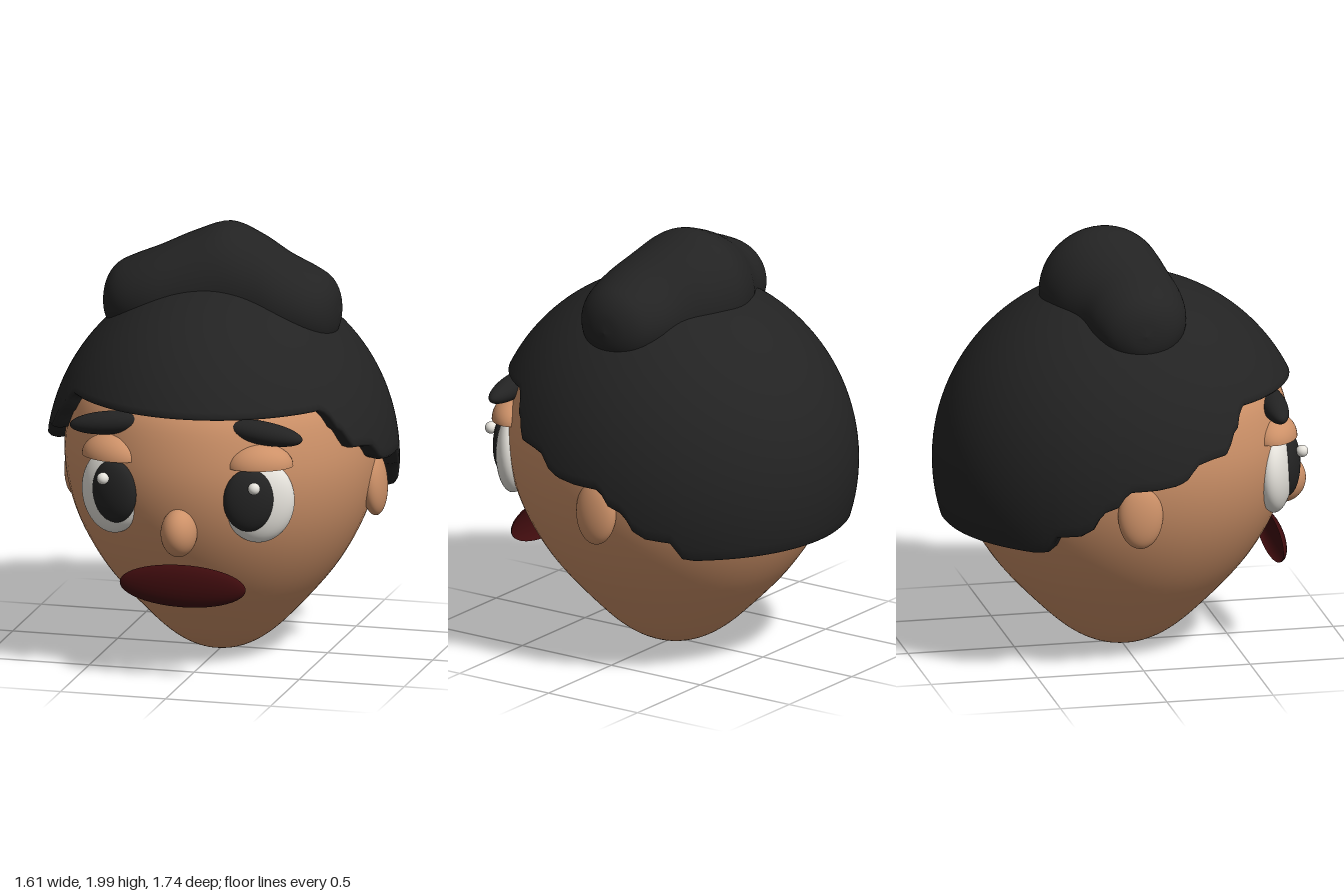
import * as THREE from 'three';
import { mergeGeometries } from 'three/addons/utils/BufferGeometryUtils.js';

function material(name, color, side = THREE.FrontSide) {
  const m = new THREE.MeshStandardMaterial({ color, side });
  m.name = name;
  return m;
}

// Smooth grid surface closed around u; fn(u, v) returns [x, y, z]
function loopSurface(fn, nu, nv) {
  const pos = [], index = [];
  for (let j = 0; j <= nv; j++)
    for (let i = 0; i < nu; i++) pos.push(...fn(i / nu, j / nv));
  for (let j = 0; j < nv; j++)
    for (let i = 0; i < nu; i++) {
      const k = (i + 1) % nu;
      const a = j * nu + i, b = j * nu + k, c = a + nu, d = b + nu;
      index.push(a, c, b, c, d, b);
    }
  const g = new THREE.BufferGeometry();
  g.setAttribute('position', new THREE.Float32BufferAttribute(pos, 3));
  g.setIndex(index);
  g.computeVertexNormals();
  return g;
}

export function createModel() {
  const model = new THREE.Group();
  model.name = 'characterHead';
  const skin = material('skin', 0xcd9168);
  const black = material('hairBlack', 0x232323, THREE.DoubleSide);
  const white = material('eyeWhite', 0xe6e3dc);
  const red = material('darkRed', 0x3d0b0d, THREE.DoubleSide);

  const ball = new THREE.SphereGeometry(1, 40, 28);
  function add(name, geometry, mat, pos = [0, 0, 0], scale = [1, 1, 1], rot = [0, 0, 0]) {
    const mesh = new THREE.Mesh(geometry, mat);
    mesh.name = name;
    mesh.position.set(...pos);
    mesh.scale.set(...scale);
    mesh.rotation.set(...rot);
    model.add(mesh);
    return mesh;
  }

  // Egg-shaped head with a narrow chin
  const profile = [[0, 0.01], [0.12, 0.03], [0.24, 0.09], [0.37, 0.2], [0.56, 0.4], [0.69, 0.6], [0.765, 0.8],
    [0.785, 1], [0.745, 1.2], [0.67, 1.32], [0.55, 1.45], [0.35, 1.57], [0, 1.63]];
  const curve = new THREE.SplineCurve(profile.map(p => new THREE.Vector2(...p)));
  const points = curve.getPoints(60);
  points.forEach(p => { p.x = Math.max(p.x, 0); });
  add('head', new THREE.LatheGeometry(points, 64), skin, [0, 0, 0], [0.92, 1, 1]);

  // Hair cap: an ellipsoid cut along a stepped hairline [degrees from front, height]
  const hairline = [[0, 1.29], [55, 1.29], [58, 1.25], [60, 1.2], [63, 1.17], [65, 1.1], [71, 1.09], [77, 1.07],
    [79, 1.02], [83, 0.99], [90, 0.975], [99, 0.97], [102, 0.9], [107, 0.87], [110, 0.79], [114, 0.755],
    [122, 0.74], [126, 0.66], [130, 0.65], [180, 0.65]];
  const hairlineAt = deg => {
    const n = Math.max(1, hairline.findIndex(h => h[0] >= deg));
    const [a, ya] = hairline[n - 1], [b, yb] = hairline[n];
    return THREE.MathUtils.mapLinear(deg, a, b, ya, yb);
  };
  const rim = [[0.985, -0.012], [0.95, -0.018], [0.8, -0.005]];
  const rows = 40, body = rows - rim.length;
  add('hairCap', loopSurface((u, v) => {
    const a = u * Math.PI * 2;
    const deg = Math.min(180, THREE.MathUtils.radToDeg(Math.min(a, Math.PI * 2 - a)));
    const end = Math.acos((hairlineAt(deg) - 0.9) / 0.87);
    const j = Math.round(v * rows);
    const t = end * Math.min(1, j / body);
    const [s, dy] = j > body ? rim[j - body - 1] : [1, 0];
    const r = Math.sin(t) * s;
    return [0.81 * r * Math.sin(a), 0.9 + 0.87 * Math.cos(t) + dy, 0.87 * r * Math.cos(a)];
  }, 180, rows), black);

  // Wide bun lofted across x: [x, centre y, centre z, radius y, radius z]
  const half = [[0, 1.7, -0.085, 0.3, 0.295], [0.15, 1.69, -0.06, 0.265, 0.28], [0.3, 1.665, -0.01, 0.225, 0.245],
    [0.42, 1.65, 0, 0.19, 0.215], [0.5, 1.64, 0, 0.155, 0.165], [0.545, 1.635, 0, 0.09, 0.09], [0.56, 1.63, 0, 0, 0]];
  const stations = [...half.slice().reverse(), ...half.slice(1).map(([x, ...r]) => [-x, ...r])];
  const spine = new THREE.CatmullRomCurve3(stations.map(s => new THREE.Vector3(s[0], s[1], s[2])), false, 'catmullrom');
  const radii = new THREE.CatmullRomCurve3(stations.map(s => new THREE.Vector3(s[3], s[4], 0)), false, 'catmullrom');
  add('hairBun', loopSurface((u, v) => {
    const c = spine.getPoint(v), r = radii.getPoint(v), a = u * Math.PI * 2;
    return [c.x, c.y + r.x * Math.cos(a), c.z + r.y * Math.sin(a)];
  }, 48, 60), black);

  // Half dome with a flat underside for the eyelids
  const lid = mergeGeometries([
    new THREE.SphereGeometry(1, 40, 14, 0, Math.PI * 2, 0, Math.PI / 2),
    new THREE.CircleGeometry(1, 40).rotateX(Math.PI / 2),
  ]);

  // Mirrored features
  for (const [s, side] of [[1, 'left'], [-1, 'right']]) {
    add(side + 'Ear', ball, skin, [s * 0.705, 0.82, -0.06], [0.058, 0.155, 0.105], [0, 0, s * 0.08]);
    add(side + 'Eye', ball, white, [s * 0.35, 0.885, 0.65], [0.165, 0.195, 0.08], [0, s * 0.4, 0]);
    add(side + 'Pupil', ball, black, [s * 0.32, 0.903, 0.718], [0.118, 0.147, 0.055], [0, s * 0.35, 0]);
    add(side + 'EyeGlint', ball, white, [s * 0.36, 0.975, 0.775], [0.028, 0.028, 0.028]);
    add(side + 'Eyelid', lid, skin, [s * 0.352, 1.05, 0.645], [0.155, 0.105, 0.105], [0, s * 0.4, 0]);
    add(side + 'Eyebrow', ball, black, [s * 0.362, 1.207, 0.64], [0.193, 0.054, 0.06], [0, 0, -s * 0.12]);
  }

  add('nose', ball, skin, [0, 0.74, 0.765], [0.083, 0.113, 0.105]);

  // Mouth: shallow open dome facing forward
  const dome = new THREE.SphereGeometry(1, 48, 14, 0, Math.PI * 2, 0, Math.PI / 2).rotateX(Math.PI / 2);
  add('mouth', dome, red, [0, 0.47, 0.7], [0.3, 0.1, 0.05]);

  return model;
}
